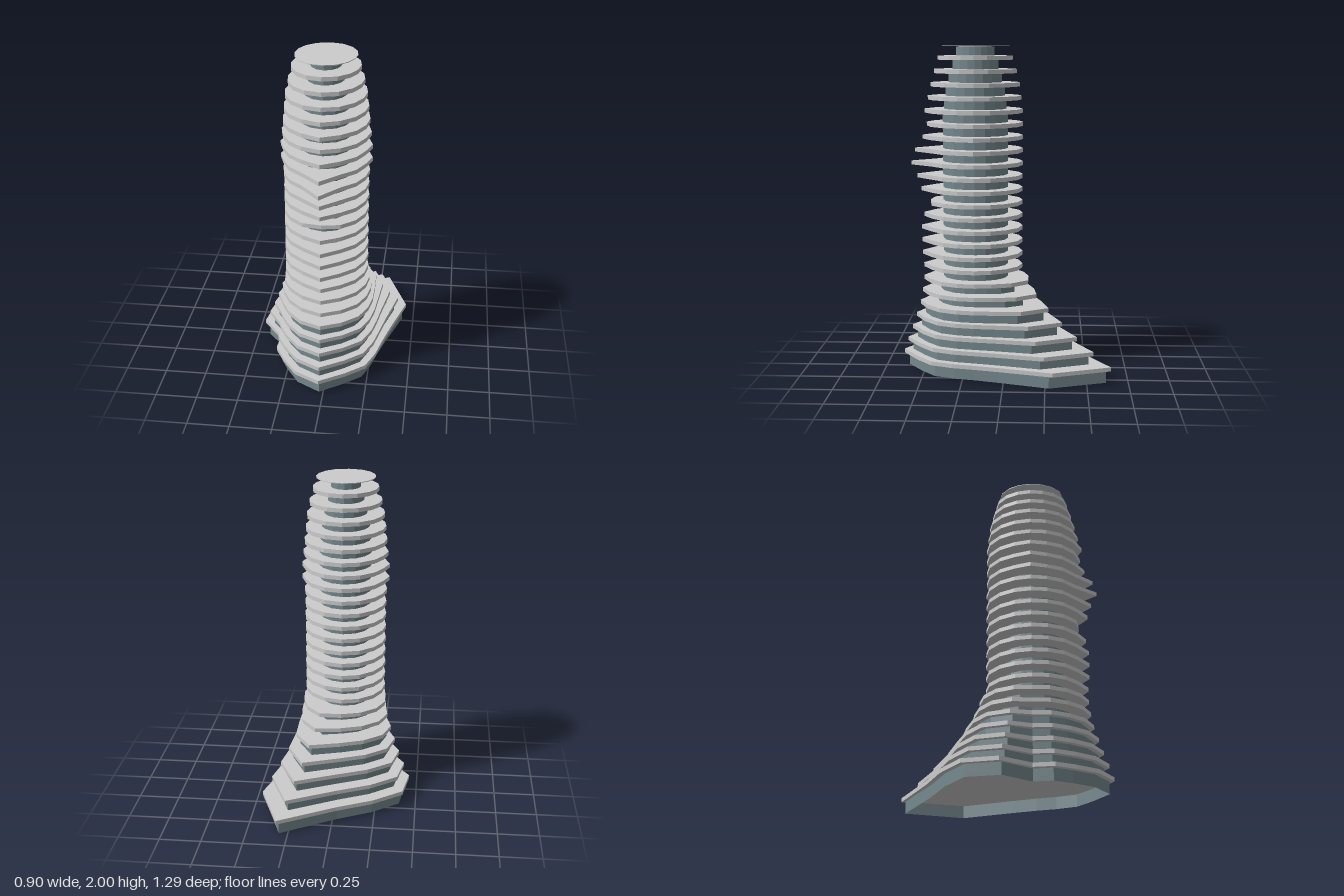
import * as THREE from 'three';

const FLOORS = 25, STEP = 0.08, SIDES = 16;
const SLAB_BELOW = 0.005, SLAB_ABOVE = 0.02; // slab thickness around each floor level
const CX = -0.026, CZ = 0.18; // tower axis

// Radii of the ground floor outline, from the front corner round through +x
const BASE = [0.46, 0.392, 0.375, 0.343, 0.346, 0.418, 0.672, 0.893,
  0.63, 0.568, 0.556, 0.462, 0.296, 0.331, 0.345, 0.403];
// How much of the ground floor outline remains on each of the lowest floors
const FLARE = [1, 0.817, 0.64, 0.48, 0.335, 0.206, 0.11];
// z of the pointed front corner of every slab
const FRONT = [0.64, 0.615, 0.585, 0.56, 0.535, 0.52, 0.51, 0.51, 0.517, 0.52, 0.52, 0.505, 0.463,
  0.52, 0.545, 0.58, 0.558, 0.51, 0.484, 0.498, 0.476, 0.457, 0.436, 0.413, 0.386];
// Extra reach of the side corners near two thirds height, and the taper at the top
const SIDE_POINT = { 16: 0.003, 17: 0.017, 18: 0.017, 19: 0.009 };
const TAPER = { 21: 0.97, 22: 0.935, 23: 0.87, 24: 0.79, 25: 0.71 };

// Radius of the regular oval tower at angle a (0 = front)
function ovalRadius(a, size) {
  const rx = 0.254 * size;
  const rz = (Math.cos(a) > 0 ? 0.296 : 0.285) * size;
  return 1 / Math.hypot(Math.sin(a) / rx, Math.cos(a) / rz);
}

// Corner points (x, z) of floor k, as a slab or as the recessed storey below it
function outline(k, isStorey) {
  const inset = !isStorey ? 0 : k <= 5 ? 0.031 : 0.09;
  return Array.from({ length: SIDES }, (_, i) => {
    const a = (i / SIDES) * Math.PI * 2;
    const oval = ovalRadius(a, TAPER[k] ?? 1);
    let r = oval + (BASE[i] - oval) * (FLARE[k - 1] ?? 0);
    if (i === 0 && (!isStorey || k <= 5)) r = FRONT[k - 1] - CZ;
    if (i % 8 === 4 && !isStorey) r += SIDE_POINT[k] ?? 0;
    r -= inset;
    return new THREE.Vector2(CX + Math.sin(a) * r, CZ + Math.cos(a) * r);
  });
}

// Closed slab between two heights
function slab(points, y0, y1, material) {
  const shape = new THREE.Shape(points.map((p) => new THREE.Vector2(p.x, -p.y)));
  const geometry = new THREE.ExtrudeGeometry(shape, { depth: y1 - y0, bevelEnabled: false });
  geometry.rotateX(-Math.PI / 2);
  geometry.translate(0, y0, 0);
  return new THREE.Mesh(geometry, material);
}

// Open ring of flat wall panels between two heights
function walls(points, y0, y1, material) {
  const positions = [];
  points.forEach((p, i) => {
    const q = points[(i + 1) % points.length];
    positions.push(p.x, y0, p.y, q.x, y0, q.y, q.x, y1, q.y);
    positions.push(p.x, y0, p.y, q.x, y1, q.y, p.x, y1, p.y);
  });
  const geometry = new THREE.BufferGeometry();
  geometry.setAttribute('position', new THREE.Float32BufferAttribute(positions, 3));
  geometry.computeVertexNormals();
  return new THREE.Mesh(geometry, material);
}

export function createModel() {
  const model = new THREE.Group();
  model.name = 'tower';
  const slabMaterial = new THREE.MeshStandardMaterial({ color: 0xcccccc, flatShading: true });
  const wallMaterial = new THREE.MeshStandardMaterial({
    color: 0x75898e, flatShading: true, side: THREE.DoubleSide,
  });

  for (let k = 1; k <= FLOORS; k++) {
    const level = k * STEP;
    const isRoof = k === FLOORS;

    // Recessed glazed storey, open underneath at ground level
    const bottom = k === 1 ? 0 : level - STEP + SLAB_ABOVE;
    const storey = walls(outline(k, true), bottom, level - SLAB_BELOW, wallMaterial);
    storey.name = `storey${k}`;

    // Projecting floor slab, ending in a thin roof plate
    const low = level - (isRoof ? 0.004 : SLAB_BELOW);
    const high = level + (isRoof ? 0 : SLAB_ABOVE);
    const floor = slab(outline(k, false), low, high, slabMaterial);
    floor.name = isRoof ? 'roof' : `floorSlab${k}`;

    model.add(storey, floor);
  }
  return model;
}
